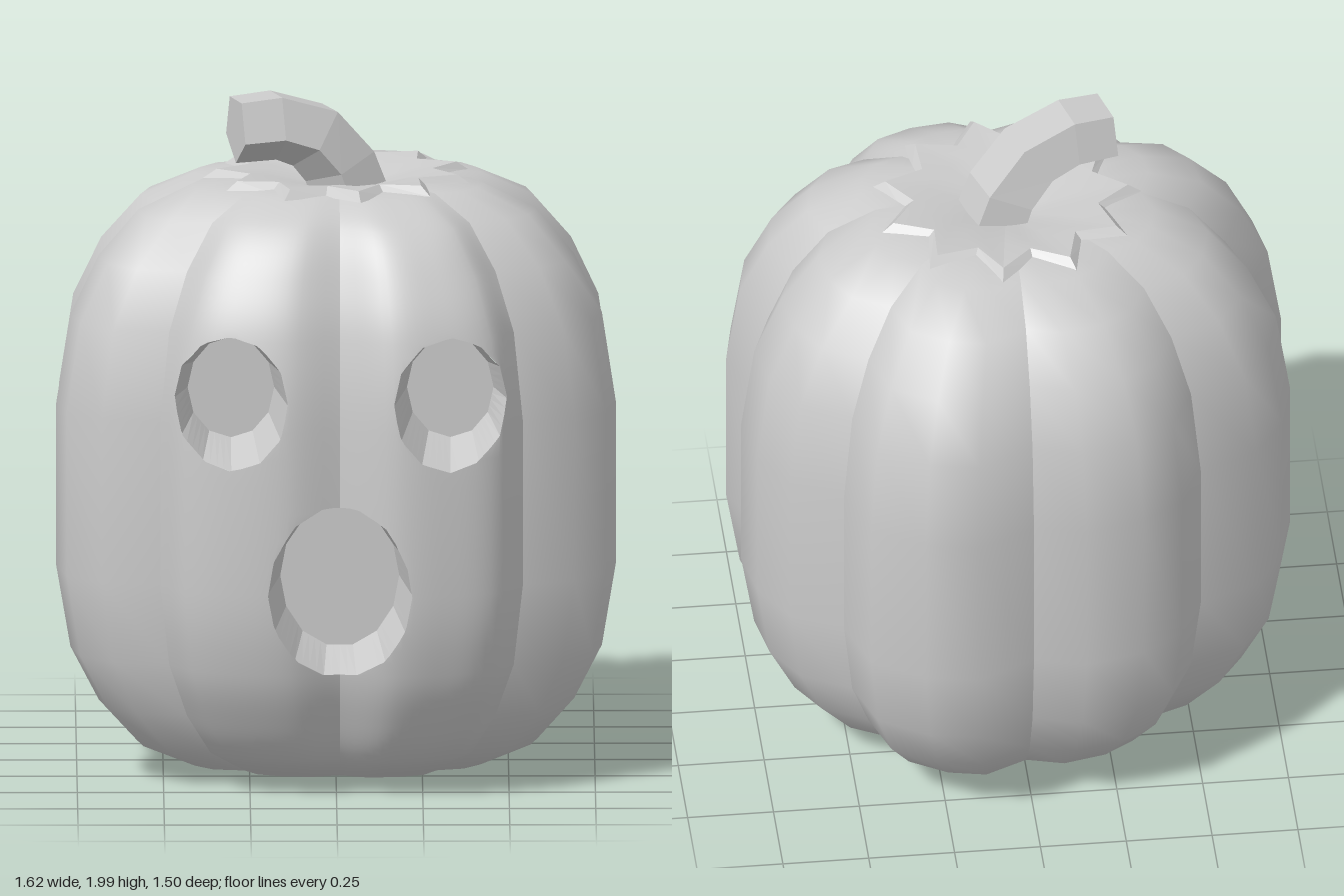
import * as THREE from 'three';

const CX = 0.01, CZ = 0.07; // axis where all ribs meet

// Widest outline of each rib (x, z), starting at the back groove; ribs share end points
const RIBS = [
  [[0.01, -0.67], [0.18, -0.75], [0.33, -0.72], [0.48, -0.63], [0.54, -0.46]],
  [[0.54, -0.46], [0.69, -0.38], [0.77, -0.25], [0.8, -0.09], [0.74, 0.07]],
  [[0.74, 0.07], [0.81, 0.22], [0.78, 0.37], [0.69, 0.49], [0.54, 0.54]],
  [[0.54, 0.54], [0.47, 0.67], [0.33, 0.73], [0.17, 0.75], [0.01, 0.68]],
  [[0.01, 0.68], [-0.14, 0.73], [-0.31, 0.71], [-0.44, 0.65], [-0.51, 0.54]],
  [[-0.51, 0.54], [-0.68, 0.51], [-0.78, 0.4], [-0.81, 0.24], [-0.74, 0.07]],
  [[-0.74, 0.07], [-0.8, -0.09], [-0.76, -0.25], [-0.67, -0.38], [-0.5, -0.45]],
  [[-0.5, -0.45], [-0.43, -0.59], [-0.31, -0.67], [-0.14, -0.71], [0.01, -0.67]],
];

// Outline scale and height, top to bottom
const PROFILE = [
  [0, 1.66], [0.16, 1.71], [0.31, 1.745], [0.52, 1.73], [0.71, 1.66], [0.85, 1.53], [0.95, 1.36],
  [1, 1.1], [1, 0.62], [0.95, 0.38], [0.85, 0.22], [0.72, 0.1], [0.53, 0.03], [0.3, 0.005], [0, 0],
];

// Face openings: centre, radii, inner ratio, depth of the floor, sides
const HOLES = [
  { name: 'leftEye', x: 0.33, y: 1.18, rx: 0.165, ry: 0.195, inner: 0.76, back: 0.42, n: 12 },
  { name: 'rightEye', x: -0.305, y: 1.18, rx: 0.165, ry: 0.195, inner: 0.76, back: 0.42, n: 12 },
  { name: 'mouth', x: 0.01, y: 0.625, rx: 0.21, ry: 0.255, inner: 0.82, back: 0.42, n: 14 },
];

// Grid surface whose front faces along dP/du x dP/dv
function grid(nu, nv, point) {
  const pos = [], index = [];
  for (let j = 0; j <= nv; j++)
    for (let i = 0; i <= nu; i++) pos.push(...point(i / nu, j / nv));
  for (let j = 0; j < nv; j++)
    for (let i = 0; i < nu; i++) {
      const a = j * (nu + 1) + i, b = a + nu + 1;
      index.push(a, a + 1, b, a + 1, b + 1, b);
    }
  const g = new THREE.BufferGeometry();
  g.setAttribute('position', new THREE.Float32BufferAttribute(pos, 3));
  g.setIndex(index);
  g.computeVertexNormals();
  return g;
}

// Straight and rounded readings of a point list
function straight(pts, t) {
  const f = t * (pts.length - 1), i = Math.min(Math.floor(f), pts.length - 2);
  return pts[i].map((a, k) => a + (pts[i + 1][k] - a) * (f - i));
}
function rounded(pts) {
  const curve = new THREE.SplineCurve(pts.map((p) => new THREE.Vector2(...p)));
  return (t) => curve.getPoint(t).toArray();
}

function ribPoint([x, z], [s, y]) {
  return [CX + (x - CX) * s, y, CZ + (z - CZ) * s];
}

// Depth of the front surface at (x, y)
function frontZ(x, y) {
  let k = 4;
  while (k < 10 && PROFILE[k + 1][1] > y) k++;
  const [s0, y0] = PROFILE[k], [s1, y1] = PROFILE[k + 1];
  const s = s0 + ((s1 - s0) * (y - y0)) / (y1 - y0);
  const lx = CX + (x - CX) / s;
  const line = [...RIBS[3], ...RIBS[4].slice(1)];
  let i = 0;
  while (i < line.length - 2 && line[i + 1][0] > lx) i++;
  const [xa, za] = line[i], [xb, zb] = line[i + 1];
  const z = za + ((zb - za) * (lx - xa)) / (xb - xa);
  return CZ + (z - CZ) * s;
}

// Radius of a unit polygon with n sides in direction a
function polygonRadius(a, n) {
  const step = (2 * Math.PI) / n, r = ((a % step) + step) % step;
  return Math.cos(step / 2) / Math.cos(r - step / 2);
}

// Cuts the face openings out of a front rib and snaps its edge to their rims
function cutHoles(g) {
  const p = g.attributes.position, inside = [];
  for (let i = 0; i < p.count; i++) {
    const x = p.getX(i), y = p.getY(i);
    for (const h of HOLES) {
      const dx = (x - h.x) / h.rx, dy = (y - h.y) / h.ry;
      const d = Math.hypot(dx, dy) / polygonRadius(Math.atan2(dy, dx), h.n);
      if (d < 1 && p.getZ(i) > 0.3) inside[i] = { h, d };
    }
  }
  const kept = [], idx = g.index.array;
  for (let i = 0; i < idx.length; i += 3) {
    const tri = [idx[i], idx[i + 1], idx[i + 2]];
    if (!tri.every((v) => inside[v])) kept.push(...tri);
  }
  g.setIndex(kept);
  inside.forEach(({ h, d }, i) => {
    if (d < 0.01) return;
    const x = h.x + (p.getX(i) - h.x) / d, y = h.y + (p.getY(i) - h.y) / d;
    p.setXYZ(i, x, y, frontZ(x, y));
  });
}

function makeRib(pts, isFront) {
  const sub = isFront ? 6 : 1;
  const nu = 4 * sub, nv = (PROFILE.length - 1) * sub;
  const across = rounded(pts), down = rounded(PROFILE);
  const g = grid(nu, nv, (u, v) => ribPoint(straight(pts, u), straight(PROFILE, v)));
  // soft shading over straight-edged facets
  const soft = grid(nu, nv, (u, v) => ribPoint(across(u), down(v)));
  g.setAttribute('normal', soft.attributes.normal);
  if (isFront) cutHoles(g);
  return g;
}

// Tapered wall and floor of one opening
function makeSocket(h) {
  return grid(h.n * 4, 2, (u, v) => {
    const a = u * 2 * Math.PI, r = polygonRadius(a, h.n);
    const k = v === 0 ? 1 : v === 1 ? 0 : h.inner;
    const rimX = h.x + Math.cos(a) * h.rx * r, rimY = h.y + Math.sin(a) * h.ry * r;
    return [h.x + (rimX - h.x) * k, h.y + (rimY - h.y) * k, v === 0 ? frontZ(rimX, rimY) : h.back];
  });
}

// Zigzag lid: dished top with a bevelled star edge
function makeLid(rings) {
  const points = 11, start = (-82.5 * Math.PI) / 180;
  return grid(points * 2, rings.length - 1, (u, v) => {
    const [tip, notch, y] = rings[Math.round(v * (rings.length - 1))];
    const r = Math.round(u * points * 2) % 2 ? notch : tip;
    const a = start + u * 2 * Math.PI;
    return [CX + Math.cos(a) * r, y, CZ + Math.sin(a) * r];
  });
}

// Bent, slightly tapering stalk with a cut end
function makeStem() {
  const path = new THREE.CatmullRomCurve3([
    new THREE.Vector3(0.05, 1.66, 0.06), new THREE.Vector3(-0.01, 1.81, 0.08),
    new THREE.Vector3(-0.12, 1.895, 0.12), new THREE.Vector3(-0.29, 1.895, 0.17),
  ]);
  const sides = 5, steps = 4;
  const tube = new THREE.TubeGeometry(path, steps, 0.105, sides);
  const p = tube.attributes.position, v = new THREE.Vector3();
  for (let i = 0; i <= steps; i++) {
    const c = path.getPointAt(i / steps), k = 1.12 - (0.14 * i) / steps;
    for (let j = 0; j <= sides; j++) {
      const n = i * (sides + 1) + j;
      v.fromBufferAttribute(p, n).sub(c).multiplyScalar(k).add(c);
      p.setXYZ(n, v.x, v.y, v.z);
    }
  }
  const last = steps * (sides + 1), index = [...tube.index.array];
  for (let j = 1; j < sides - 1; j++) index.push(last, last + j, last + j + 1);
  tube.setIndex(index);
  return tube;
}

export function createModel() {
  const smooth = new THREE.MeshStandardMaterial({ color: 0xcccccc });
  const flat = new THREE.MeshStandardMaterial({ color: 0xcccccc, flatShading: true, side: THREE.DoubleSide });
  const model = new THREE.Group();
  model.name = 'carvedPumpkin';
  const add = (parent, name, geometry, material) => {
    const mesh = new THREE.Mesh(geometry, material);
    mesh.name = name;
    parent.add(mesh);
  };

  const body = new THREE.Group();
  body.name = 'body';
  model.add(body);
  RIBS.forEach((pts, i) => add(body, `rib${i + 1}`, makeRib(pts, i === 3 || i === 4), smooth));

  HOLES.forEach((h) => add(model, h.name, makeSocket(h), flat));

  add(model, 'lidTop', makeLid([[0, 0, 1.69], [0.1, 0.1, 1.715], [0.22, 0.21, 1.745], [0.355, 0.27, 1.757]]), smooth);
  add(model, 'lidEdge', makeLid([[0.355, 0.27, 1.757], [0.395, 0.305, 1.73]]), flat);
  add(model, 'stem', makeStem(), flat);
  return model;
}
